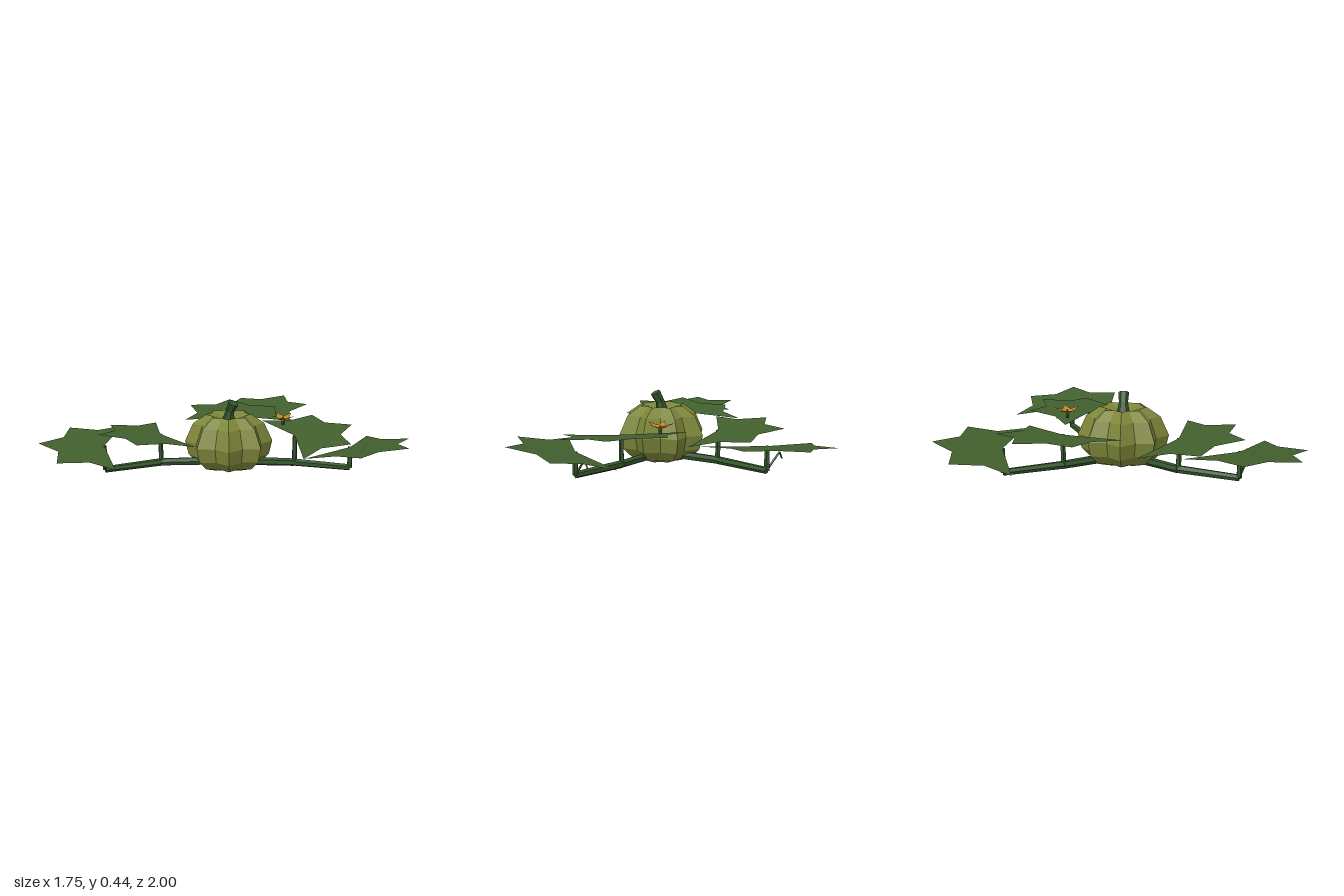
import * as THREE from 'three';

const mat = (name, color) => {
  const m = new THREE.MeshStandardMaterial({ color, flatShading: true, side: THREE.DoubleSide });
  m.name = name;
  return m;
};

export function createModel() {
  const model = new THREE.Group();
  const rind = mat('rind', 0x7d863a);
  const vineGreen = mat('vineGreen', 0x34552c);
  const leafGreen = mat('leafGreen', 0x42602e);
  const petalOrange = mat('petalOrange', 0xb98420);
  const pollen = mat('pollen', 0x8f5c16);

  const add = (parent, name, geo, material) => {
    const m = new THREE.Mesh(geo, material);
    m.name = name;
    parent.add(m);
    return m;
  };

  // Tapered rod between two points
  const rod = (parent, name, a, b, r0, r1, sides = 6) => {
    const p = new THREE.Vector3(...a), q = new THREE.Vector3(...b);
    const d = q.clone().sub(p);
    const m = add(parent, name, new THREE.CylinderGeometry(r1, r0, d.length(), sides), vineGreen);
    m.position.copy(p).add(q).multiplyScalar(0.5);
    m.quaternion.setFromUnitVectors(new THREE.Vector3(0, 1, 0), d.normalize());
  };

  // Ribbed fruit: eight ridges with pulled-in valleys between
  const profile = [[0, 0], [0.105, 0.018], [0.19, 0.045], [0.245, 0.1], [0.265, 0.185],
    [0.215, 0.295], [0.135, 0.35], [0.055, 0.325], [0, 0.315]];
  const fruit = new THREE.LatheGeometry(profile.map(p => new THREE.Vector2(...p)), 16);
  const fp = fruit.attributes.position;
  for (let i = 0; i < fp.count; i++) {
    if (Math.floor(i / profile.length) % 2) {
      fp.setX(i, fp.getX(i) * 0.79);
      fp.setZ(i, fp.getZ(i) * 0.79);
    }
  }
  fruit.computeVertexNormals();
  add(model, 'fruit', fruit, rind).position.x = -0.125;

  // Bent stalk
  const stalk = new THREE.Group();
  stalk.name = 'stalk';
  rod(stalk, 'stalkBase', [-0.127, 0.31, 0], [-0.113, 0.375, 0], 0.038, 0.026);
  rod(stalk, 'stalkTip', [-0.115, 0.368, 0], [-0.083, 0.425, 0], 0.026, 0.031);
  model.add(stalk);

  // Five-lobed leaf lying on a tilted plane; mid = heading of the middle lobe
  const leaf = (parent, [x, z], y, mid, slopeX, slopeZ) => {
    const pts = [];
    for (let i = 0; i <= 8; i++) {
      const a = THREE.MathUtils.degToRad(mid + (i - 4) * 25.9);
      const r = i % 2 ? 0.272 : 0.372;
      pts.push(new THREE.Vector2(r * Math.cos(a), -r * Math.sin(a)));
    }
    pts.push(new THREE.Vector2(0, 0));
    const g = new THREE.ShapeGeometry(new THREE.Shape(pts)).rotateX(-Math.PI / 2);
    const p = g.attributes.position;
    for (let i = 0; i < p.count; i++) p.setY(i, slopeX * p.getX(i) + slopeZ * p.getZ(i));
    g.computeVertexNormals();
    add(parent, 'leaf', g, leafGreen).position.set(x, y, z);
  };

  // Vines: two leaf nodes each [x, z], leaf height, heading, slopes, and a curled tendril
  const vines = [
    { name: 'leftBackVine',
      leaves: [[[0.2, -0.235], 0.232, 299, 0, -0.12], [[0.5, -0.385], 0.19, 354, 0.16, 0.02]],
      tendril: [[0.47, 0.16, -0.46], [0.46, 0.12, -0.485]] },
    { name: 'rightFrontVine',
      leaves: [[[-0.385, 0.32], 0.24, 112, 0, 0.11], [[-0.51, 0.64], 0.21, 130.5, -0.1, 0]],
      tendril: [[-0.44, 0.16, 0.69], [-0.42, 0.11, 0.71]] },
    { name: 'rightBackVine',
      leaves: [[[-0.35, -0.32], 0.24, 216, -0.1, 0], [[-0.5, -0.625], 0.2, 264, 0.05, -0.12]],
      tendril: [[-0.58, 0.16, -0.615], [-0.605, 0.12, -0.6]] },
  ];
  for (const { name, leaves, tendril } of vines) {
    const vine = new THREE.Group();
    vine.name = name;
    let from = [-0.125, 0.06, 0], r = 0.027;
    for (const l of leaves) {
      const [x, z] = l[0], node = [x, 0.065, z];
      rod(vine, 'runner', from, node, r, r - 0.004);
      rod(vine, 'leafStem', node, [x, l[1], z], 0.016, 0.013, 5);
      leaf(vine, ...l);
      from = node;
      r -= 0.004;
    }
    rod(vine, 'tendril', from, tendril[0], 0.007, 0.006, 4);
    rod(vine, 'tendrilTip', tendril[0], tendril[1], 0.006, 0.004, 4);
    model.add(vine);
  }

  // Star-shaped blossom: a shallow cup with five raised petal tips
  const blossom = new THREE.Group();
  blossom.name = 'blossom';
  const verts = [];
  const rim = i => {
    const a = -Math.PI / 2 + i * Math.PI / 5;
    const r = i % 2 ? 0.042 : 0.08;
    return [r * Math.cos(a), i % 2 ? 0.018 : 0.035, r * Math.sin(a)];
  };
  for (let i = 0; i < 10; i++) verts.push(0, 0, 0, ...rim(i + 1), ...rim(i));
  const petals = new THREE.BufferGeometry();
  petals.setAttribute('position', new THREE.Float32BufferAttribute(verts, 3));
  petals.computeVertexNormals();
  add(blossom, 'petals', petals, petalOrange);
  add(blossom, 'blossomCentre', new THREE.ConeGeometry(0.013, 0.025, 5), pollen).position.y = 0.012;
  rod(blossom, 'blossomStem', [0, -0.03, 0], [0, 0.002, 0], 0.01, 0.01, 5);
  blossom.position.set(0.01, 0.272, -0.345);
  model.add(blossom);

  return model;
}
